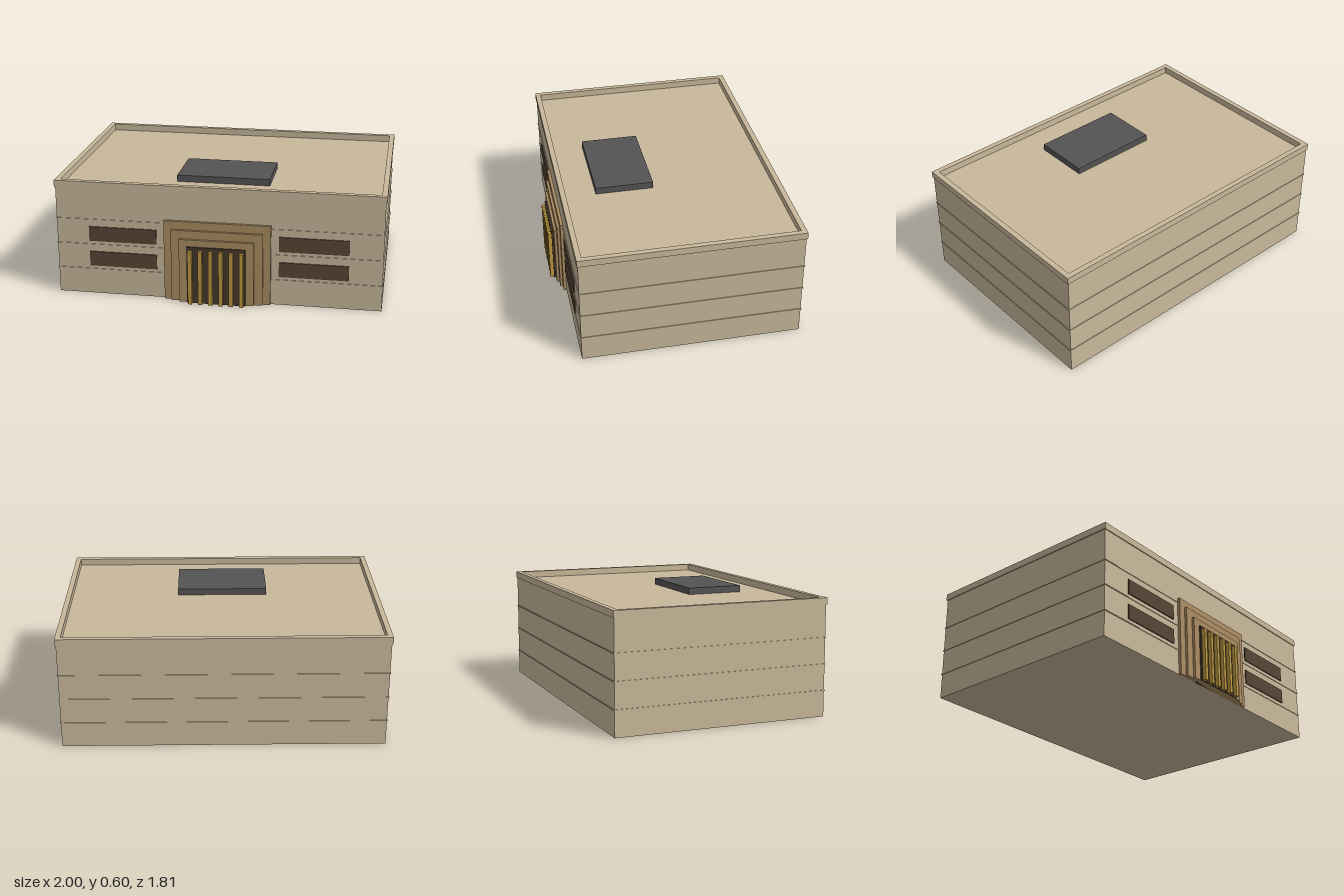
import * as THREE from 'three';

const mat = (name, color) => {
  const m = new THREE.MeshStandardMaterial({ color });
  m.name = name;
  return m;
};

export function createModel() {
  const sandstone = mat('sandstone', 0xc9b99b);
  const bronze = mat('bronze trim', 0xac8d63);
  const gold = mat('gold', 0xc09a42);
  const glass = mat('dark brown glass', 0x584636);
  const door = mat('dark door', 0x46392b);
  const plant = mat('roof plant grey', 0x545454);

  const model = new THREE.Group();
  model.name = 'building';
  const house = new THREE.Group();
  house.name = 'turnedBuilding';
  house.rotation.y = THREE.MathUtils.degToRad(-30.8);
  model.add(house);

  // Box standing on height y, centred on x and z
  const box = (name, material, w, h, d, x, y, z) => {
    const mesh = new THREE.Mesh(new THREE.BoxGeometry(w, h, d), material);
    mesh.name = name;
    mesh.position.set(x, y + h / 2, z);
    house.add(mesh);
  };

  // Main block
  const W = 1.65, D = 1.11, roofY = 0.565, front = D / 2;
  box('walls', sandstone, W, roofY, D, 0, 0, 0);

  // Thin floor bands running round the walls
  for (const y of [0.133, 0.267, 0.4]) {
    box('floorBand', sandstone, W + 0.007, 0.005, D + 0.007, 0, y - 0.0025, 0);
  }

  // Parapet ring, slightly proud of the walls
  const rect = (path, w, d) => path.moveTo(-w / 2, -d / 2).lineTo(w / 2, -d / 2)
    .lineTo(w / 2, d / 2).lineTo(-w / 2, d / 2).closePath();
  const ring = rect(new THREE.Shape(), W + 0.01, D + 0.01);
  ring.holes.push(rect(new THREE.Path(), W - 0.045, D - 0.045));
  const ringGeo = new THREE.ExtrudeGeometry(ring, { depth: 0.035, bevelEnabled: false });
  ringGeo.rotateX(-Math.PI / 2);
  const parapet = new THREE.Mesh(ringGeo, sandstone);
  parapet.name = 'parapet';
  parapet.position.y = roofY;
  house.add(parapet);

  // Roof plant box
  box('roofPlant', plant, 0.475, 0.034, 0.297, 0, roofY, 0.227);

  // Window strips either side of the entrance
  for (const side of [-1, 1]) {
    for (const y of [0.152, 0.286]) {
      box('windowStrip', glass, 0.348, 0.077, 0.008, side * 0.484, y, front + 0.002);
    }
  }

  // Stepped portal: each layer smaller and further forward
  const layers = [[0.54, 0.42, 0.015], [0.464, 0.378, 0.028], [0.378, 0.335, 0.041]];
  for (const [w, h, out] of layers) {
    box('portalStep', bronze, w, h, out, 0, 0, front + out / 2);
  }
  box('door', door, 0.296, 0.3, 0.05, 0, 0, front + 0.025);

  // Gold fins in front of the door
  for (let i = 0; i < 6; i++) {
    box('goldFin', gold, 0.02, 0.284, 0.02, (i - 2.5) * 0.052, 0, front + 0.059);
  }
  return model;
}
